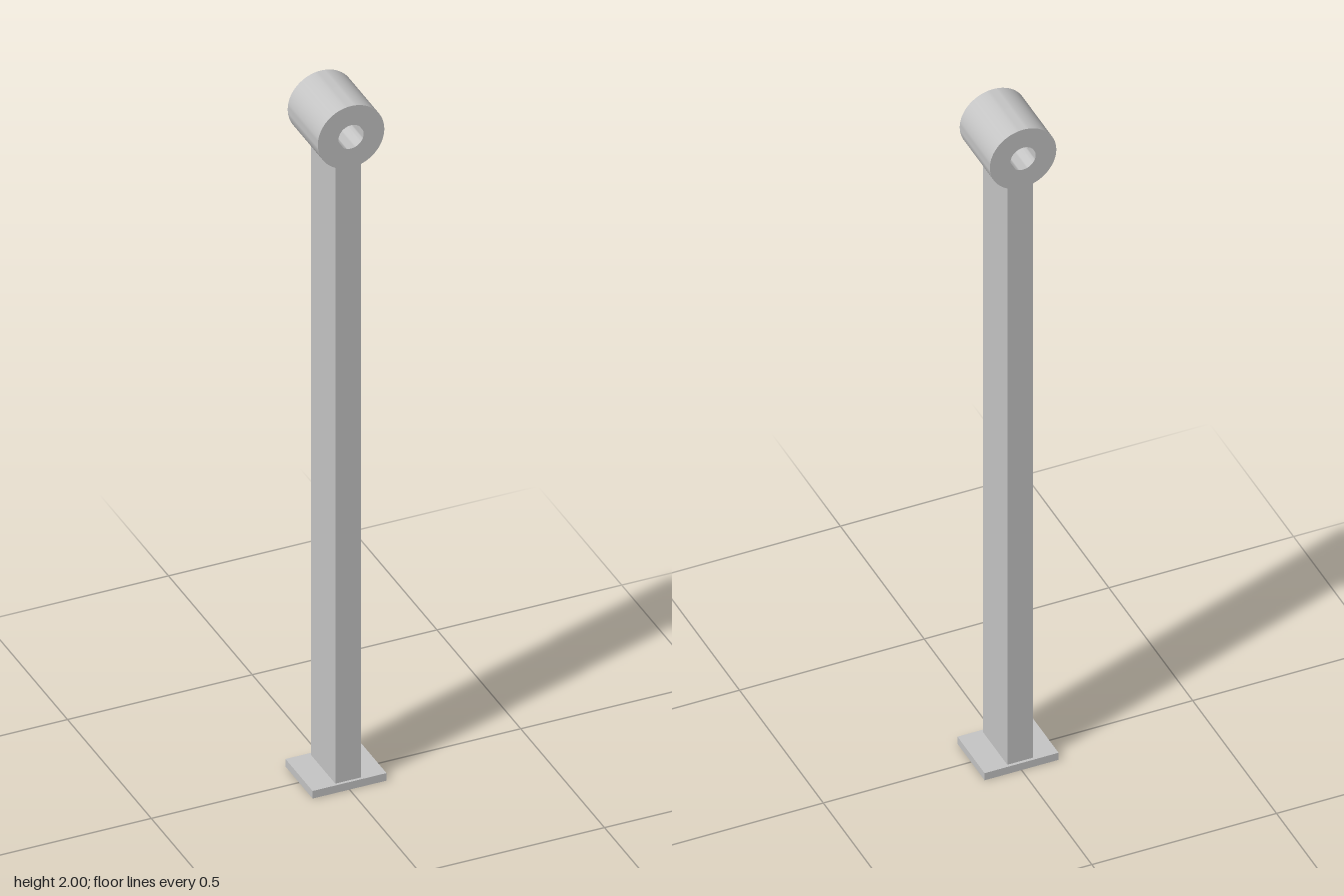
import * as THREE from 'three';
import { toCreasedNormals } from 'three/addons/utils/BufferGeometryUtils.js';

export function createModel() {
  const group = new THREE.Group();
  const grey = new THREE.MeshStandardMaterial({ color: 0xc4c4c4 });
  grey.name = 'grey metal';

  const add = (name, geometry, y) => {
    const mesh = new THREE.Mesh(geometry, grey);
    mesh.name = name;
    mesh.position.y = y;
    group.add(mesh);
  };

  // Base plate and flat upright bar, whose top is buried in the sleeve wall
  add('basePlate', new THREE.BoxGeometry(0.2, 0.022, 0.162), 0.011);
  const bottom = 0.022, top = 1.85;
  add('post', new THREE.BoxGeometry(0.07, top - bottom, 0.146), (bottom + top) / 2);

  // Pivot sleeve: thick tube along z with an open bore
  const depth = 0.18;
  const ring = new THREE.Shape().absarc(0, 0, 0.09, 0, Math.PI * 2);
  ring.holes.push(new THREE.Path().absarc(0, 0, 0.034, 0, Math.PI * 2, true));
  const sleeve = new THREE.ExtrudeGeometry(ring, { depth, bevelEnabled: false, curveSegments: 32 });
  sleeve.translate(0, 0, -depth / 2);
  add('pivotSleeve', toCreasedNormals(sleeve, 0.6), 1.91);

  return group;
}
